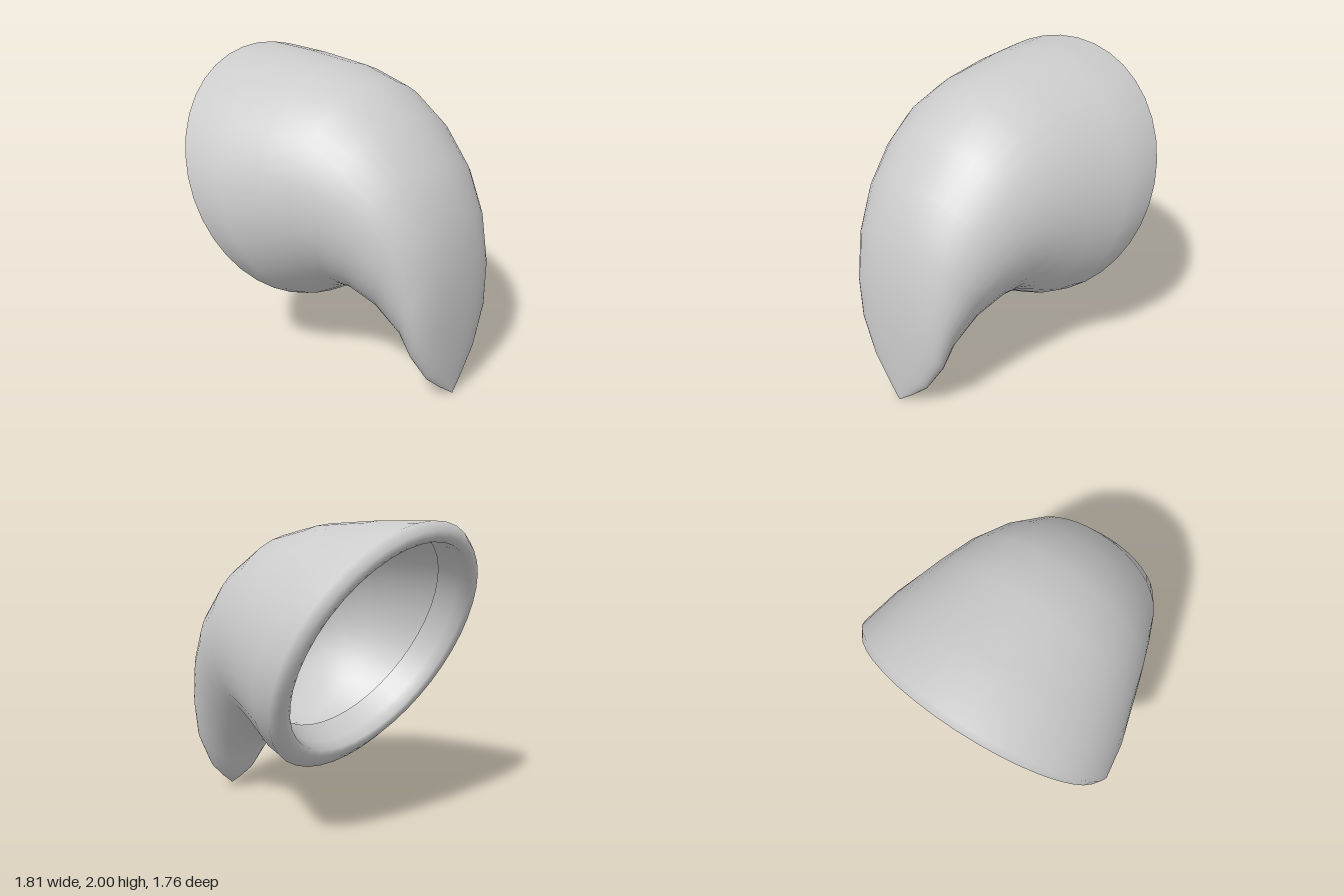
import * as THREE from 'three';

const SIDES = 40;

// Each cross-section: crest x, y, throat x, y, half width, and how far the widest line shifts to the crest
const SECTIONS = [
  // inner lip, ending inside the opening
  [-0.65, 1.94, -0.04, 0.66, 0.72, 0],
  [-0.80, 1.90, -0.16, 0.57, 0.74, 0],
  // rounded rim
  [-0.875, 1.88, -0.225, 0.53, 0.76, 0],
  [-0.90, 1.91, -0.215, 0.49, 0.80, 0],
  [-0.908, 1.945, -0.195, 0.455, 0.845, 0],
  [-0.87, 2.0, -0.14, 0.405, 0.878, 0],
  // outer shell, bending down to the hooked tip
  [-0.50, 1.99, -0.07, 0.43, 0.838, 0],
  [-0.10, 1.96, 0.03, 0.49, 0.755, 0],
  [0.20, 1.89, 0.12, 0.545, 0.69, 0],
  [0.46, 1.73, 0.18, 0.575, 0.625, 0.03],
  [0.69, 1.48, 0.26, 0.575, 0.555, 0.08],
  [0.83, 1.20, 0.44, 0.50, 0.47, 0.15],
  [0.89, 0.88, 0.62, 0.36, 0.40, 0.22],
  [0.905, 0.58, 0.69, 0.24, 0.345, 0.25],
  [0.90, 0.30, 0.77, 0.10, 0.225, 0.25],
  [0.89, 0.12, 0.82, 0.05, 0.105, 0.2],
  [0.88, 0, 0.88, 0, 0, 0],
];

// Joins the closed rings of the sections into one smooth skin
function loft(sections) {
  const positions = [], index = [];
  sections.forEach(([cx, cy, tx, ty, width, shift], row) => {
    for (let i = 0; i < SIDES; i++) {
      const a = (i / SIDES) * Math.PI * 2;
      const s = Math.sin(a);
      const along = (1 + Math.cos(a) + shift * s * s) / 2;
      positions.push(tx + (cx - tx) * along, ty + (cy - ty) * along, width * s);
      if (row === sections.length - 1) continue;
      const p = row * SIDES + i;
      const q = row * SIDES + (i + 1) % SIDES;
      index.push(p, q, p + SIDES, q, q + SIDES, p + SIDES);
    }
  });
  const geometry = new THREE.BufferGeometry();
  geometry.setAttribute('position', new THREE.Float32BufferAttribute(positions, 3));
  geometry.setIndex(index);
  geometry.computeVertexNormals();
  return geometry;
}

export function createModel() {
  const group = new THREE.Group();
  group.name = 'hollowBeak';
  const material = new THREE.MeshStandardMaterial({ color: 0xcccccc, side: THREE.DoubleSide });
  const shell = new THREE.Mesh(loft(SECTIONS), material);
  shell.name = 'beakShell';
  group.add(shell);
  return group;
}
